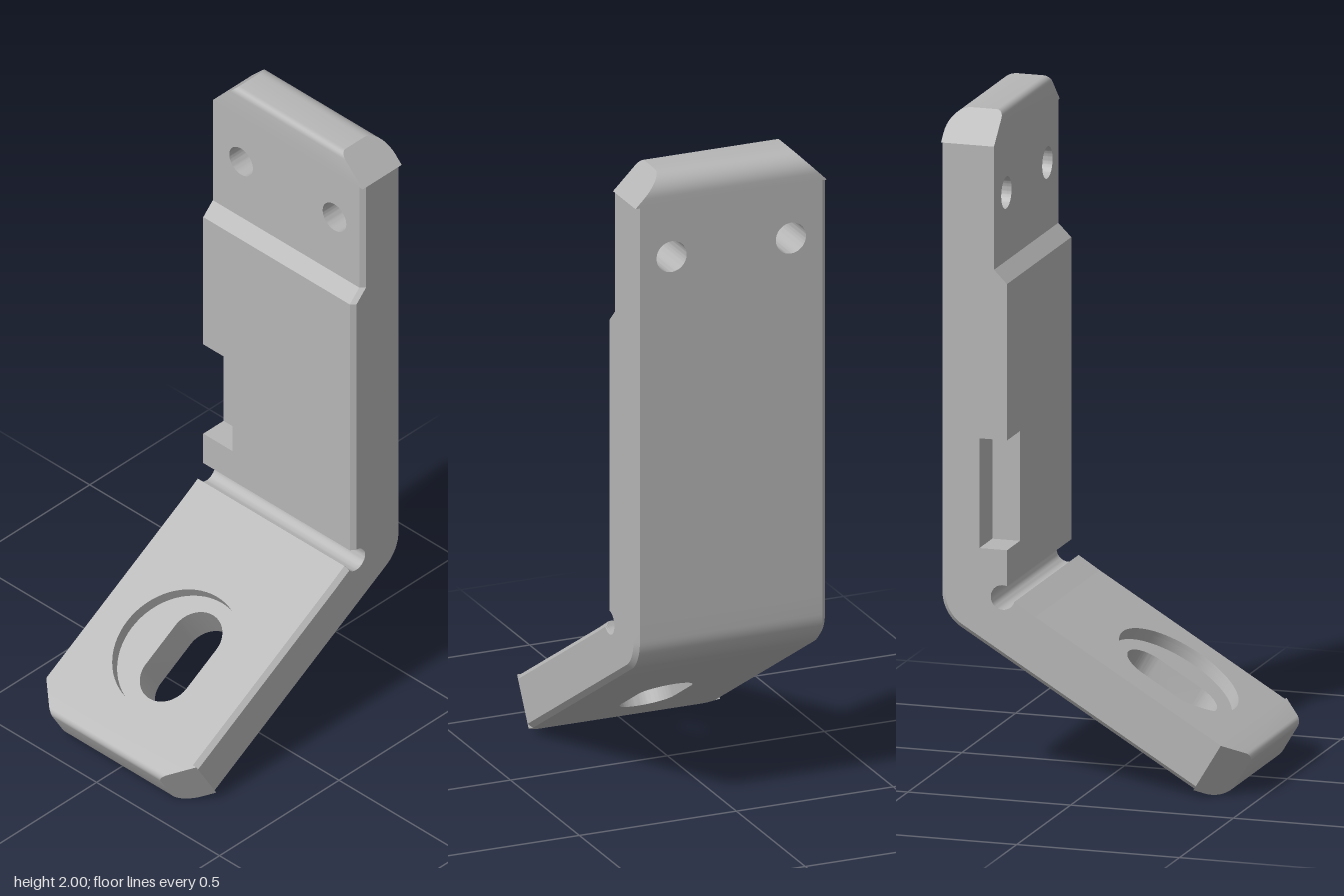
import * as THREE from 'three';
import { toCreasedNormals } from 'three/addons/utils/BufferGeometryUtils.js';

const W = 0.305;          // half width
const C = 0.014;          // small edge chamfer
const T = 0.163;          // thickness of foot and upper plate
const OUT = 0.463;        // outer face of the upright
const ANG = THREE.MathUtils.degToRad(31);
const cos = Math.cos(ANG), sin = Math.sin(ANG);

// Frames: a runs along the arm, n from the outer face inwards, zs is the sign of world z
const upright = { o: [OUT, 0], a: [0, 1], n: [-1, 0], zs: -1 };
const footArm = { o: [OUT, 0.49], a: [-cos, -sin], n: [-sin, cos], zs: 1 };
const place = (f, a, n) => [
  f.o[0] + f.a[0] * a + f.n[0] * n,
  f.o[1] + f.a[1] * a + f.n[1] * n,
];

function arc(cx, cy, r, from, to, steps) {
  const pts = [];
  for (let i = 0; i <= steps; i++) {
    const t = from + ((to - from) * i) / steps;
    pts.push([cx + r * Math.cos(t), cy + r * Math.sin(t)]);
  }
  return pts;
}

// Closed solid through matching sections of [x, y, z]; flat holds the first section in 2D
function loft(sections, flat) {
  const count = flat.length, last = (sections.length - 1) * count;
  let tris = [];
  for (let s = 0; s < sections.length - 1; s++) {
    for (let i = 0; i < count; i++) {
      const j = (i + 1) % count, p = s * count, q = p + count;
      tris.push([p + i, p + j, q + j], [p + i, q + j, q + i]);
    }
  }
  const contour = flat.map((p) => new THREE.Vector2(p[0], p[1]));
  const ccw = THREE.ShapeUtils.area(contour) > 0;
  for (const f of THREE.ShapeUtils.triangulateShape(contour, [])) {
    const v = f.map((k) => contour[k]);
    const same = (THREE.ShapeUtils.area(v) > 0) === ccw;
    const [a, b, c] = same ? f : [f[0], f[2], f[1]];
    tris.push([a, c, b], [last + a, last + b, last + c]);
  }
  const verts = sections.flat().map((p) => new THREE.Vector3(...p));
  // turn the faces outwards
  let volume = 0;
  for (const [a, b, c] of tris) volume += verts[a].dot(verts[b].clone().cross(verts[c]));
  if (volume < 0) tris = tris.map(([a, b, c]) => [a, c, b]);
  const g = new THREE.BufferGeometry().setFromPoints(verts);
  g.setIndex(tris.flat());
  return toCreasedNormals(g, 0.5);
}

// Plate layer with holes, from depth n0 to n1; insets are [+z, -z] pairs at both depths
function layer(f, a0, a1, n0, n1, holes, inset0 = [0, 0], inset1 = [0, 0]) {
  const shape = new THREE.Shape();
  shape.moveTo(a0, -W).lineTo(a1, -W).lineTo(a1, W).lineTo(a0, W).closePath();
  shape.holes.push(...holes);
  const g = new THREE.ExtrudeGeometry(shape, { depth: n1 - n0, bevelEnabled: false, curveSegments: 32 });
  const p = g.attributes.position;
  for (let i = 0; i < p.count; i++) {
    const b = p.getY(i);
    if (Math.abs(b) < W - 0.001) continue;
    const inset = p.getZ(i) > (n1 - n0) / 2 ? inset1 : inset0;
    p.setY(i, Math.sign(b) * (W - inset[b * f.zs > 0 ? 0 : 1]));
  }
  g.translate(0, 0, n0);
  g.applyMatrix4(new THREE.Matrix4().makeBasis(
    new THREE.Vector3(...f.a, 0), new THREE.Vector3(0, 0, f.zs), new THREE.Vector3(...f.n, 0),
  ).setPosition(...f.o, 0));
  return toCreasedNormals(g, 0.5);
}

// Rounded arm end with both corners cut at 45 degrees
function armEnd(f, start, end, rOuter, rInner) {
  const H = Math.PI / 2;
  const pts = [
    [start, 0],
    ...arc(end - rOuter, rOuter, rOuter, -H, 0, 10),
    ...arc(end - rInner, T - rInner, rInner, 0, H, 5),
    [start, T],
  ];
  const side = (s) => pts.map(([a, n]) => [...place(f, a, n), s * (W - (a - start))]);
  return loft([side(-1), side(1)], pts);
}

// Upright cross-section in x and z, with an optional notch in the rear inner corner
function uprightSection(xi, notch) {
  const rear = notch
    ? [[xi, -0.185], [0.345, -0.185], [0.345, -W]]
    : [[xi, -W]];
  return [[OUT, W - C], [OUT - C, W], [xi + C, W], [xi, W - C], ...rear, [OUT - C, -W], [OUT, -W + C]];
}
function uprightPart(levels, notch = false) {
  const sections = levels.map(([y, xi]) => uprightSection(xi, notch).map(([x, z]) => [x, y, z]));
  return loft(sections, uprightSection(levels[0][1], notch));
}

// Bend outline: outer fillet and round relief groove, with outer and inner insets
function bendOutline(i, j) {
  const R = 0.12, r = 0.037, turn = Math.PI / 2 - ANG;
  const first = Math.acos((j - 0.013) / r);
  const end = ANG - Math.PI - Math.asin((0.0094 - j) / r);
  return [
    [OUT - i, 0.62],
    ...arc(OUT - R, 0.49 + R * Math.tan(turn / 2), R - i, 0, -turn, 10),
    place(footArm, 0.24, i),
    place(footArm, 0.24, T - j),
    ...arc(0.273, 0.557, r, first, end, 24).reverse(),
    [0.26 + j, 0.62],
  ];
}

function circle(a, b, r) {
  return new THREE.Path().absarc(a, b, r, 0, Math.PI * 2, true);
}
function slot(a, half, r) {
  const H = Math.PI / 2;
  const p = new THREE.Path();
  p.absarc(a + half - r, 0, r, -H, H, false);
  p.absarc(a - half + r, 0, r, H, 3 * H, false);
  return p.closePath();
}

export function createModel() {
  const group = new THREE.Group();
  group.name = 'angleBracket';
  const steel = new THREE.MeshStandardMaterial({ color: 0xb6b6b6 });
  steel.name = 'grey steel';
  const add = (name, geometry) => {
    const mesh = new THREE.Mesh(geometry, steel);
    mesh.name = name;
    group.add(mesh);
  };

  // upright: plain and notched lengths, then the step to the thinner head
  add('uprightBase', uprightPart([[0.62, 0.26], [0.70, 0.26]]));
  add('uprightNotched', uprightPart([[0.70, 0.26], [1.03, 0.26]], true));
  add('uprightStep', uprightPart([[1.03, 0.26], [1.5, 0.26], [1.54, OUT - T]]));

  // drilled head, chamfered on its outer edges and one inner edge
  const bolts = () => [-0.19, 0.19].map((z) => circle(1.745, z, 0.048));
  add('headOuterEdge', layer(upright, 1.54, 1.91, 0, C, bolts(), [C, C]));
  add('headPlate', layer(upright, 1.54, 1.91, C, T - C, bolts()));
  add('headInnerEdge', layer(upright, 1.54, 1.91, T - C, T, bolts(), [0, 0], [C, 0]));
  add('headEnd', armEnd(upright, 1.91, 2, 0.065, 0.02));

  // bend with relief groove
  const bend = [[-W, C, 0], [-W + C, 0, 0], [W - C, 0, 0], [W, C, C]];
  add('bend', loft(
    bend.map(([z, i, j]) => bendOutline(i, j).map((p) => [...p, z])),
    bendOutline(C, 0),
  ));

  // foot with slot and round recess
  const A = 0.24, B = 0.905, mid = 0.637, floor = T - 0.04;
  const long = () => [slot(mid, 0.155, 0.083)];
  const recess = () => [circle(mid, 0, 0.2)];
  add('footOuterEdge', layer(footArm, A, B, 0, C, long(), [C, C]));
  add('footSlotPlate', layer(footArm, A, B, C, floor, long()));
  add('footRecess', layer(footArm, A, B, floor, T - C, recess()));
  add('footInnerEdge', layer(footArm, A, B, T - C, T, recess(), [0, 0], [C, 0]));
  add('footEnd', armEnd(footArm, B, 0.99, 0.055, 0.02));

  return group;
}
